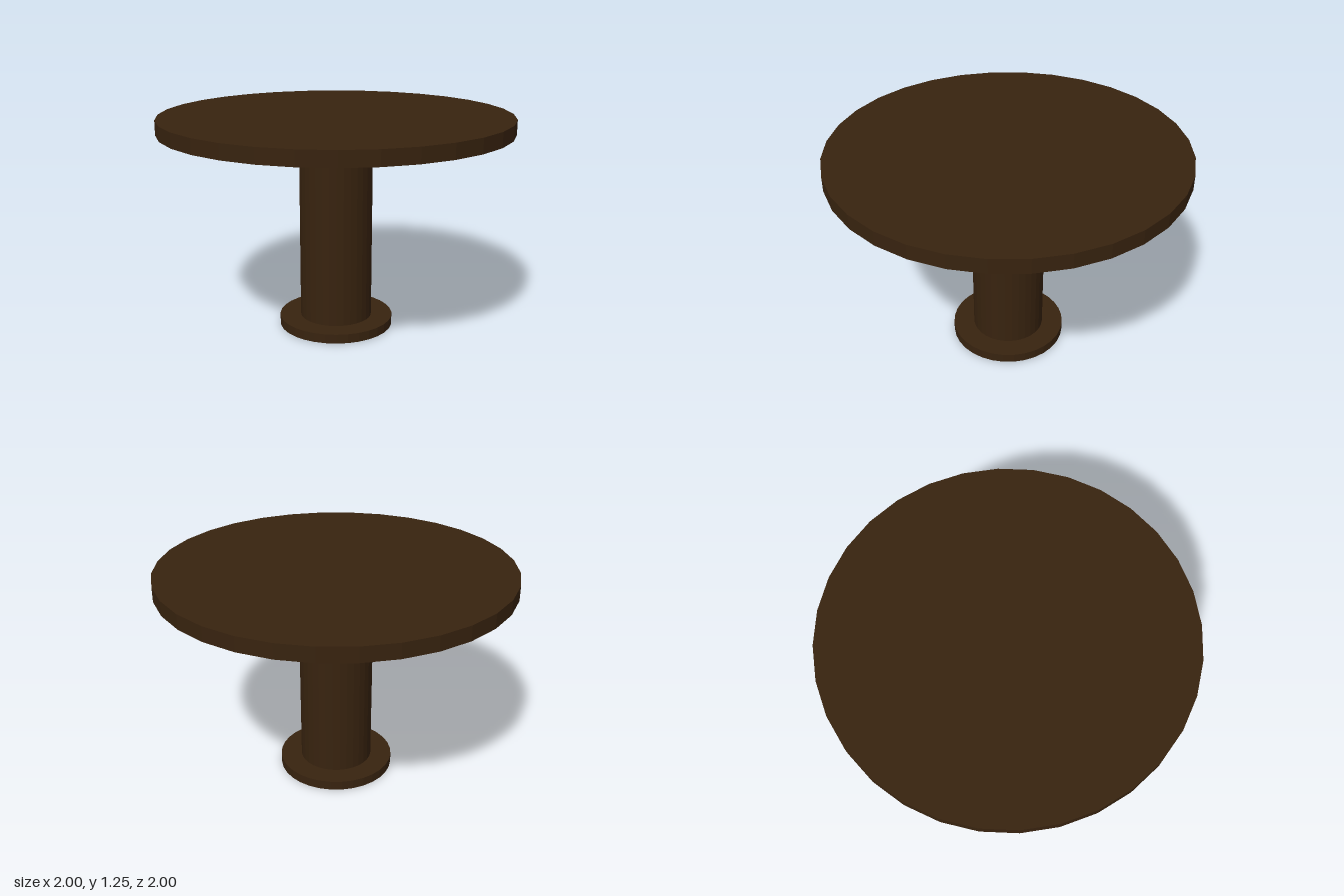
import * as THREE from 'three';

export function createModel() {
  const group = new THREE.Group();
  const wood = new THREE.MeshStandardMaterial({ color: 0x38230f, flatShading: true });
  wood.name = 'darkWood';

  // Upright disc or column between two heights
  const addRound = (name, radius, bottom, top) => {
    const height = top - bottom;
    const mesh = new THREE.Mesh(new THREE.CylinderGeometry(radius, radius, height, 32), wood);
    mesh.name = name;
    mesh.position.y = bottom + height / 2;
    group.add(mesh);
  };

  addRound('base', 0.333, 0, 0.054);
  addRound('pedestal', 0.21, 0.054, 1.167);
  addRound('tableTop', 1, 1.167, 1.25);

  return group;
}
